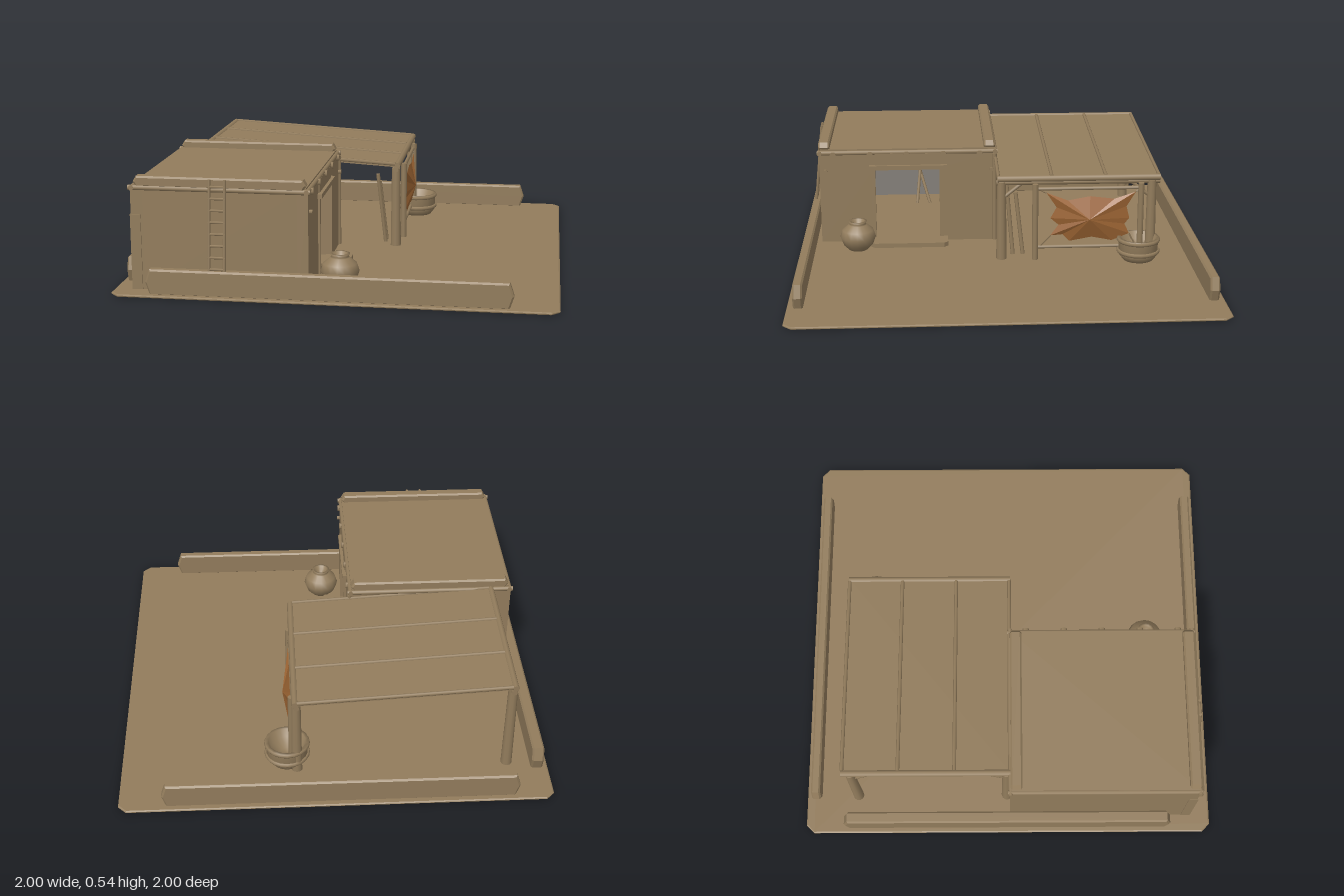
import * as THREE from 'three';

const clay = new THREE.MeshStandardMaterial({ color: 0x927c5c });
clay.name = 'clay brown';
const grey = new THREE.MeshStandardMaterial({ color: 0x858079 });
grey.name = 'plaster grey';
const rust = new THREE.MeshStandardMaterial({ color: 0x9c6433, side: THREE.DoubleSide });
rust.name = 'rust cloth';
const clayOpen = new THREE.MeshStandardMaterial({ color: 0x927c5c, side: THREE.DoubleSide });
clayOpen.name = 'clay brown open';

const V = (x, y, z) => new THREE.Vector3(x, y, z);

function add(parent, name, geometry, material = clay) {
  const mesh = new THREE.Mesh(geometry, material);
  mesh.name = name;
  parent.add(mesh);
  return mesh;
}

// Box given by its minimum and maximum corners
function box(parent, name, x0, x1, y0, y1, z0, z1, material = clay) {
  const mesh = add(parent, name, new THREE.BoxGeometry(x1 - x0, y1 - y0, z1 - z0), material);
  mesh.position.set((x0 + x1) / 2, (y0 + y1) / 2, (z0 + z1) / 2);
  return mesh;
}

// Round pole between two points
function pole(parent, name, a, b, r, sides = 10, rTop = r) {
  const mesh = add(parent, name, new THREE.CylinderGeometry(rTop, r, a.distanceTo(b), sides));
  mesh.position.copy(a).add(b).multiplyScalar(0.5);
  mesh.quaternion.setFromUnitVectors(V(0, 1, 0), b.clone().sub(a).normalize());
  return mesh;
}

function polygon(points) {
  return new THREE.Shape(points.map(([x, y]) => new THREE.Vector2(x, y)));
}

// Low bar with pointed ends, lengthwise along x and centred on z
function bar(parent, name, x0, x1, y0, y1, depth, point) {
  const mid = y0 + (y1 - y0) * 0.5, bevel = Math.min(0.008, depth / 4);
  const shape = polygon([[x0 + point, y0 + bevel], [x1 - point, y0 + bevel], [x1 - bevel, mid],
    [x1 - point, y1 - bevel], [x0 + point, y1 - bevel], [x0 + bevel, mid]]);
  const geo = new THREE.ExtrudeGeometry(shape, { depth: depth - 2 * bevel, bevelSize: bevel, bevelThickness: bevel, bevelSegments: 1 });
  geo.translate(0, 0, -depth / 2 + bevel);
  return add(parent, name, geo);
}

function lathe(parent, name, profile, sides, x, z, material) {
  const mesh = add(parent, name, new THREE.LatheGeometry(profile.map(([r, y]) => new THREE.Vector2(r, y)), sides), material);
  mesh.position.set(x, 0, z);
  return mesh;
}

function buildYard(root) {
  // Ground slab with cut corners
  const e = 0.994, c = 0.96;
  const shape = polygon([[-c, -e], [c, -e], [e, -c], [e, c], [c, e], [-c, e], [-e, c], [-e, -c]]);
  const geo = new THREE.ExtrudeGeometry(shape, { depth: 0.004, bevelSize: 0.006, bevelThickness: 0.004, bevelSegments: 1 });
  geo.rotateX(-Math.PI / 2).translate(0, 0.004, 0);
  add(root, 'ground', geo);

  // Low yard walls on three sides
  bar(root, 'frontYardWall', -0.84, 0.8, 0.005, 0.125, 0.045, 0.025).position.z = 0.948;
  bar(root, 'backYardWall', -0.84, 0.8, 0.005, 0.125, 0.045, 0.025).position.z = -0.95;
  const side = bar(root, 'sideYardWall', -0.8, 0.81, 0.005, 0.13, 0.056, 0.025);
  side.rotation.y = Math.PI / 2;
  side.position.x = -0.948;
}

function buildHouse(root) {
  const house = new THREE.Group();
  house.name = 'house';
  root.add(house);
  // Hollow room
  box(house, 'leftRoomWall', -0.915, -0.86, 0.01, 0.48, 0.01, 0.9);
  box(house, 'frontRoomWall', -0.86, -0.16, 0.01, 0.48, 0.845, 0.9);
  box(house, 'backRoomWall', -0.86, -0.16, 0.01, 0.48, 0.01, 0.065);
  box(house, 'innerPlaster', -0.86, -0.855, 0.012, 0.48, 0.065, 0.845, grey);
  const doorWall = polygon([[-0.9, 0.01], [-0.01, 0.01], [-0.01, 0.48], [-0.9, 0.48]]);
  doorWall.holes.push(polygon([[-0.625, 0.03], [-0.29, 0.03], [-0.29, 0.4], [-0.625, 0.4]]));
  const geo = new THREE.ExtrudeGeometry(doorWall, { depth: 0.05, bevelEnabled: false });
  geo.rotateY(Math.PI / 2).translate(-0.16, 0, 0);
  add(house, 'doorWall', geo);
  box(house, 'roof', -0.905, -0.12, 0.478, 0.5, 0.015, 0.895);

  // Roof parapets and edge poles
  for (const z of [0.04, 0.876]) {
    const p = bar(house, 'parapet', -0.9, -0.12, 0.485, 0.535, 0.056, 0.018);
    p.position.z = z;
  }
  for (const x of [-0.908, -0.116]) pole(house, 'roofEdgePole', V(x, 0.482, 0.0), V(x, 0.482, 0.91), 0.012, 8);
  for (const z of [0.012, 0.898]) pole(house, 'roofEndPole', V(-0.925, 0.482, z), V(-0.1, 0.482, z), 0.012, 8);
  for (const z of [0.09, 0.275, 0.46, 0.645, 0.83]) pole(house, 'roofBeamEnd', V(-0.14, 0.475, z), V(-0.095, 0.475, z), 0.016, 6);
  for (const z of [0.03, 0.87]) pole(house, 'wallPeg', V(-0.13, 0.39, z), V(-0.095, 0.39, z), 0.01, 6);
  pole(house, 'cornerPole', V(-0.11, 0.01, 0.015), V(-0.11, 0.47, 0.015), 0.012, 8);
  box(house, 'cornerButtress', -0.918, -0.87, 0.01, 0.36, 0.86, 0.905);

  // Doorway trim and step
  box(house, 'doorLintel', -0.13, -0.09, 0.396, 0.418, 0.255, 0.65);
  box(house, 'overDoorPanel', -0.12, -0.105, 0.418, 0.478, 0.29, 0.62);
  for (const z of [0.285, 0.63]) box(house, 'doorJamb', -0.13, -0.1, 0.03, 0.4, z - 0.01, z + 0.01);
  const step = polygon([[-0.13, -0.645], [-0.02, -0.645], [0, -0.625], [0, -0.275], [-0.02, -0.255], [-0.13, -0.255]]);
  const stepGeo = new THREE.ExtrudeGeometry(step, { depth: 0.025, bevelEnabled: false });
  add(house, 'doorStep', stepGeo.rotateX(-Math.PI / 2).translate(0, 0.01, 0));
  box(house, 'roomFloor', -0.86, -0.16, 0.01, 0.022, 0.065, 0.845);

  // Sticks leaning inside the room
  pole(house, 'indoorStick', V(-0.7, 0.02, 0.415), V(-0.83, 0.26, 0.39), 0.008, 6);
  pole(house, 'indoorStick', V(-0.7, 0.02, 0.345), V(-0.83, 0.2, 0.405), 0.008, 6);

  // Ladder against the front wall
  const ladder = new THREE.Group();
  ladder.name = 'ladder';
  house.add(ladder);
  for (const x of [-0.55, -0.48]) pole(ladder, 'ladderRail', V(x, 0.1, 0.955), V(x, 0.53, 0.91), 0.007, 6);
  for (let i = 0; i < 8; i++) {
    const t = (i + 0.6) / 8.2, y = 0.1 + 0.43 * t, z = 0.955 - 0.045 * t;
    pole(ladder, 'ladderRung', V(-0.555, y, z), V(-0.475, y, z), 0.006, 6);
  }
}

function buildShelter(root) {
  const shelter = new THREE.Group();
  shelter.name = 'shelter';
  root.add(shelter);
  // Sloping roof with battens and edge poles
  const roof = new THREE.Group();
  roof.name = 'shelterRoof';
  roof.position.set(-0.315, 0.453, -0.385);
  roof.rotation.z = -0.058;
  shelter.add(roof);
  box(roof, 'roofMat', -0.5, 0.5, -0.008, 0.008, -0.395, 0.395);
  for (const z of [-0.395, -0.133, 0.133, 0.395]) pole(roof, 'roofBatten', V(-0.49, 0.008, z), V(0.49, 0.008, z), 0.009, 6);
  for (const x of [-0.5, 0.5]) pole(roof, 'roofSidePole', V(x, 0, -0.4), V(x, 0, 0.4), 0.016, 8);

  // Main posts with beams and diagonal braces
  for (const [x, top] of [[0.178, 0.41], [-0.81, 0.465]]) {
    for (const [z, s] of [[-0.005, -1], [-0.745, 1]]) {
      pole(shelter, 'post', V(x, 0.01, z), V(x, top, z), 0.026, 10, 0.022);
      pole(shelter, 'brace', V(x, top - 0.09, z), V(x, top - 0.01, z + s * 0.1), 0.009, 6);
    }
    pole(shelter, 'postBeam', V(x, top - 0.005, -0.785), V(x, top - 0.005, 0.02), 0.014, 8);
  }

  // Hanging frame with stretched cloth
  for (const z of [-0.17, -0.69]) pole(shelter, 'framePost', V(0.2, 0.01, z), V(0.2, 0.4, z), 0.015, 8);
  pole(shelter, 'frameTopRail', V(0.195, 0.375, -0.16), V(0.195, 0.375, -0.7), 0.009, 6);
  pole(shelter, 'frameLowRail', V(0.195, 0.075, -0.16), V(0.195, 0.075, -0.7), 0.009, 6);
  const rim = [[-0.225, 0.355], [-0.33, 0.315], [-0.44, 0.335], [-0.56, 0.32], [-0.665, 0.355], [-0.62, 0.28], [-0.635, 0.22],
    [-0.612, 0.19], [-0.635, 0.14], [-0.55, 0.105], [-0.45, 0.125], [-0.34, 0.105], [-0.305, 0.14], [-0.245, 0.135], [-0.285, 0.19], [-0.245, 0.225], [-0.275, 0.28]];
  const verts = [];
  rim.forEach(([z, y], i) => {
    const [z2, y2] = rim[(i + 1) % rim.length];
    verts.push(0.237, 0.225, -0.435, 0.2, y, z, 0.2, y2, z2);
  });
  const cloth = new THREE.BufferGeometry();
  cloth.setAttribute('position', new THREE.Float32BufferAttribute(verts, 3));
  cloth.computeVertexNormals();
  add(shelter, 'cloth', cloth, rust);
  for (const [z, y, z2, y2] of [[-0.225, 0.355, -0.18, 0.375], [-0.665, 0.355, -0.69, 0.375], [-0.245, 0.135, -0.19, 0.075], [-0.635, 0.14, -0.67, 0.075]]) {
    pole(shelter, 'clothTie', V(0.2, y, z), V(0.195, y2, z2), 0.004, 5);
  }

  // Sticks leaning beside the corner post
  pole(shelter, 'leaningStick', V(0.12, 0.012, -0.065), V(0.083, 0.37, -0.035), 0.01, 6);
  pole(shelter, 'leaningStick', V(0.12, 0.012, -0.115), V(0.088, 0.325, -0.08), 0.01, 6);
}

function buildVessels(root) {
  // Round jar by the door
  lathe(root, 'jar', [[0, 0.01], [0.045, 0.01], [0.075, 0.04], [0.09, 0.08], [0.078, 0.115], [0.045, 0.142],
    [0.04, 0.148], [0.046, 0.16], [0.034, 0.16], [0.03, 0.142], [0, 0.11]], 16, 0.002, 0.71, clayOpen);
  // Wide basin with rim and waist bands
  lathe(root, 'basin', [[0, 0.012], [0.075, 0.015], [0.098, 0.045], [0.098, 0.115], [0.104, 0.128], [0.088, 0.128],
    [0.075, 0.09], [0.03, 0.06], [0, 0.055]], 18, 0.222, -0.68, clayOpen);
  for (const y of [0.06, 0.118]) {
    const band = add(root, 'basinBand', new THREE.TorusGeometry(0.097, 0.011, 6, 20));
    band.rotation.x = Math.PI / 2;
    band.position.set(0.222, y, -0.68);
  }
}

export function createModel() {
  const root = new THREE.Group();
  root.name = 'desertHomestead';
  buildYard(root);
  buildHouse(root);
  buildShelter(root);
  buildVessels(root);
  return root;
}
